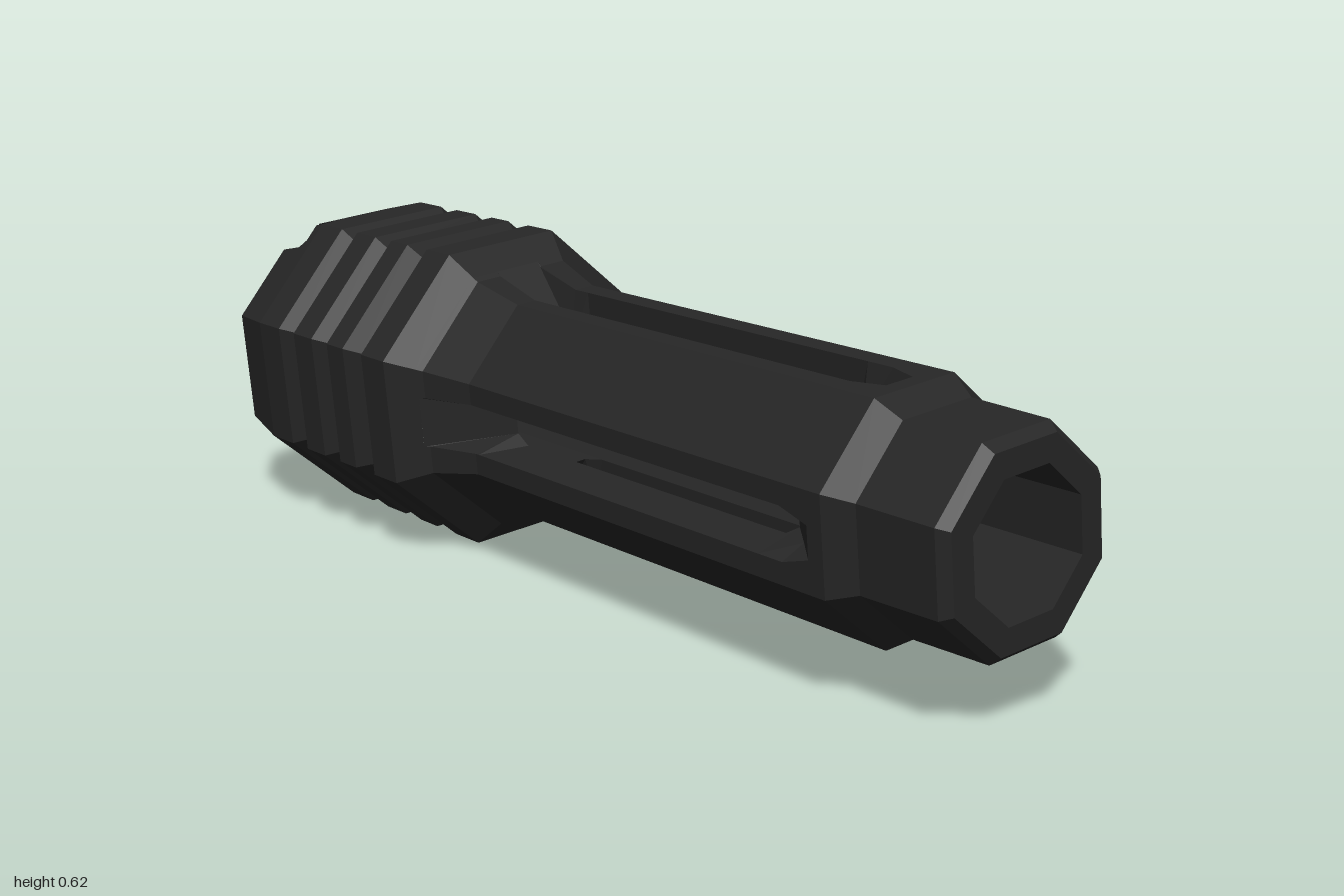
import * as THREE from 'three';

const AXIS_Y = 0.31, HALF = Math.PI / 8, TILT = THREE.MathUtils.degToRad(5.5);
const BORE = 0.133, BORE_FLAT = BORE * Math.cos(HALF);

// Outer profile along the axis: [x, corner radius]
const PROFILE = [
  [-1, 0.293], [-0.87, 0.324], [-0.79, 0.324], [-0.76, 0.3], [-0.73, 0.324], [-0.66, 0.324],
  [-0.63, 0.3], [-0.6, 0.324], [-0.54, 0.324], [-0.505, 0.3], [-0.47, 0.324], [-0.39, 0.324],
  [-0.33, 0.27], [-0.22, 0.236], [0.76, 0.236], [0.81, 0.203], [0.98, 0.2], [1, 0.183],
];
// Slot: [x, half width at the surface, half width at the floor, floor distance from the axis]
const SLOT = [
  [-0.34, 0.049, 0.049, 0.2577], [-0.21, 0.049, 0.03, BORE_FLAT], [-0.18, 0.049, 0.049, BORE_FLAT],
  [0.57, 0.049, 0.049, BORE_FLAT], [0.6, 0.049, 0.03, BORE_FLAT], [0.66, 0.049, 0.03, 0.168],
  [0.725, 0.03, 0.03, 0.218],
];
// Locating notch in the rear rim: [x, half width]
const NOTCH = [[-1, 0.05], [-0.92, 0.05], [-0.9, 0.035]];
const NOTCH_FLOOR = 0.22, NOTCH_ANGLE = TILT + HALF;

const STATIONS = [...new Set([...PROFILE, ...SLOT, ...NOTCH].map((p) => p[0]))].sort((a, b) => a - b);

function sample(table, x, col) {
  const i = Math.max(1, table.findIndex((p) => p[0] >= x));
  const [a, b] = [table[i - 1], table[i]];
  return a[col] + (b[col] - a[col]) * (x - a[0]) / (b[0] - a[0]);
}
const radius = (x) => sample(PROFILE, x, 1);
const flat = (x) => radius(x) * Math.cos(HALF);
const edge = (x) => radius(x) * Math.sin(HALF);
const BORE_EDGE = BORE * Math.sin(HALF);

// Point at distance u from the axis in direction angle, shifted sideways by s
const at = (angle, x, u, s) => [
  x, AXIS_Y + u * Math.cos(angle) - s * Math.sin(angle), u * Math.sin(angle) + s * Math.cos(angle)];

function poly(out, pts, flip = false) {
  const p = flip ? [...pts].reverse() : pts;
  for (let i = 1; i < p.length - 1; i++) out.push(...p[0], ...p[i], ...p[i + 1]);
}

// Strip facing outward between two stations; each end is [u, s0, s1]
function strip(out, ang, x0, x1, e0, e1, flip) {
  poly(out, [at(ang, x0, e0[0], e0[1]), at(ang, x0, e0[0], e0[2]),
    at(ang, x1, e1[0], e1[2]), at(ang, x1, e1[0], e1[1])], flip);
}

// One of the eight sides between two stations
function side(out, k, x0, x1) {
  const ang = TILT + k * Math.PI / 4;
  const slotted = k % 2 === 0 && x0 >= SLOT[0][0] && x1 <= SLOT[SLOT.length - 1][0];
  const cut = (x, sign) => (x1 <= -0.9 && ((k === 0 && sign > 0) || (k === 1 && sign < 0)))
    ? sample(NOTCH, x, 1) / Math.cos(HALF) : 0;
  const lim = (x, sign) => sign * (edge(x) - cut(x, sign));
  if (!slotted) {
    strip(out, ang, x0, x1, [flat(x0), lim(x0, -1), lim(x0, 1)], [flat(x1), lim(x1, -1), lim(x1, 1)]);
    strip(out, ang, x0, x1, [BORE_FLAT, -BORE_EDGE, BORE_EDGE], [BORE_FLAT, -BORE_EDGE, BORE_EDGE], true);
    return;
  }
  const [h0, h1] = [sample(SLOT, x0, 1), sample(SLOT, x1, 1)];
  const [w0, w1] = [sample(SLOT, x0, 2), sample(SLOT, x1, 2)];
  const [f0, f1] = [sample(SLOT, x0, 3), sample(SLOT, x1, 3)];
  const open = x0 >= -0.21 && x1 <= 0.6;
  for (const m of [-1, 1]) {
    // Surface beside the slot, then the slot wall
    strip(out, ang, x0, x1, [flat(x0), m * h0, m * edge(x0)], [flat(x1), m * h1, m * edge(x1)], m < 0);
    poly(out, [at(ang, x0, f0, m * w0), at(ang, x1, f1, m * w1),
      at(ang, x1, flat(x1), m * h1), at(ang, x0, flat(x0), m * h0)], m > 0);
    if (open) strip(out, ang, x0, x1, [BORE_FLAT, m * w0, m * BORE_EDGE], [BORE_FLAT, m * w1, m * BORE_EDGE], m > 0);
  }
  if (!open) {
    strip(out, ang, x0, x1, [f0, -w0, w0], [f1, -w1, w1]);
    strip(out, ang, x0, x1, [BORE_FLAT, -BORE_EDGE, BORE_EDGE], [BORE_FLAT, -BORE_EDGE, BORE_EDGE], true);
  }
}

// Annular end face, leaving out the notch at the rear
function cap(out, x) {
  const rear = x < 0;
  for (let k = 0; k < 8; k++) {
    const ang = TILT + k * Math.PI / 4;
    const m = k === 1 ? -1 : 1;
    const notched = rear && k < 2;
    const pts = [at(ang, x, BORE_FLAT, -m * BORE_EDGE), at(ang, x, flat(x), -m * edge(x))];
    if (notched) {
      pts.push(at(ang, x, flat(x), m * (edge(x) - NOTCH[0][1] / Math.cos(HALF))),
        at(NOTCH_ANGLE, x, NOTCH_FLOOR, -m * NOTCH[0][1]), at(NOTCH_ANGLE, x, NOTCH_FLOOR, 0));
    } else pts.push(at(ang, x, flat(x), m * edge(x)));
    pts.push(at(ang, x, BORE_FLAT, m * BORE_EDGE));
    poly(out, pts, (m > 0) === rear);
  }
}

function notch(out) {
  const A = NOTCH_ANGLE;
  const top = (x, w) => radius(x) - w * Math.tan(HALF);
  for (let i = 0; i < NOTCH.length - 1; i++) {
    const [[x0, w0], [x1, w1]] = [NOTCH[i], NOTCH[i + 1]];
    strip(out, A, x0, x1, [NOTCH_FLOOR, -w0, w0], [NOTCH_FLOOR, -w1, w1]);
    for (const m of [-1, 1]) {
      poly(out, [at(A, x0, NOTCH_FLOOR, m * w0), at(A, x1, NOTCH_FLOOR, m * w1),
        at(A, x1, top(x1, w1), m * w1), at(A, x0, top(x0, w0), m * w0)], m > 0);
    }
  }
  // Inner end wall
  const [x, w] = NOTCH[NOTCH.length - 1];
  poly(out, [at(A, x, NOTCH_FLOOR, -w), at(A, x, NOTCH_FLOOR, w), at(A, x, top(x, w), w),
    at(A, x, radius(x), 0), at(A, x, top(x, w), -w)]);
}

export function createModel() {
  const group = new THREE.Group();
  const blackMetal = new THREE.MeshStandardMaterial({ color: 0x262626 });
  blackMetal.name = 'blackMetal';

  const add = (name, out) => {
    const geo = new THREE.BufferGeometry();
    geo.setAttribute('position', new THREE.Float32BufferAttribute(out, 3));
    geo.computeVertexNormals(); // unshared corners give flat facets
    const mesh = new THREE.Mesh(geo, blackMetal);
    mesh.name = name;
    group.add(mesh);
  };
  const section = (from, to) => {
    const out = [];
    for (let i = 0; i < STATIONS.length - 1; i++) {
      if (STATIONS[i] < from || STATIONS[i + 1] > to) continue;
      for (let k = 0; k < 8; k++) side(out, k, STATIONS[i], STATIONS[i + 1]);
    }
    return out;
  };

  // Grooved collar with its rear face and notch
  const collar = section(-1, -0.33);
  cap(collar, -1);
  add('groovedCollar', collar);
  const cutout = [];
  notch(cutout);
  add('rearNotch', cutout);

  // Tube with four long slots
  add('slottedTube', section(-0.33, 0.81));

  // Narrow muzzle end
  const tip = section(0.81, 1);
  cap(tip, 1);
  add('muzzleTip', tip);

  return group;
}
